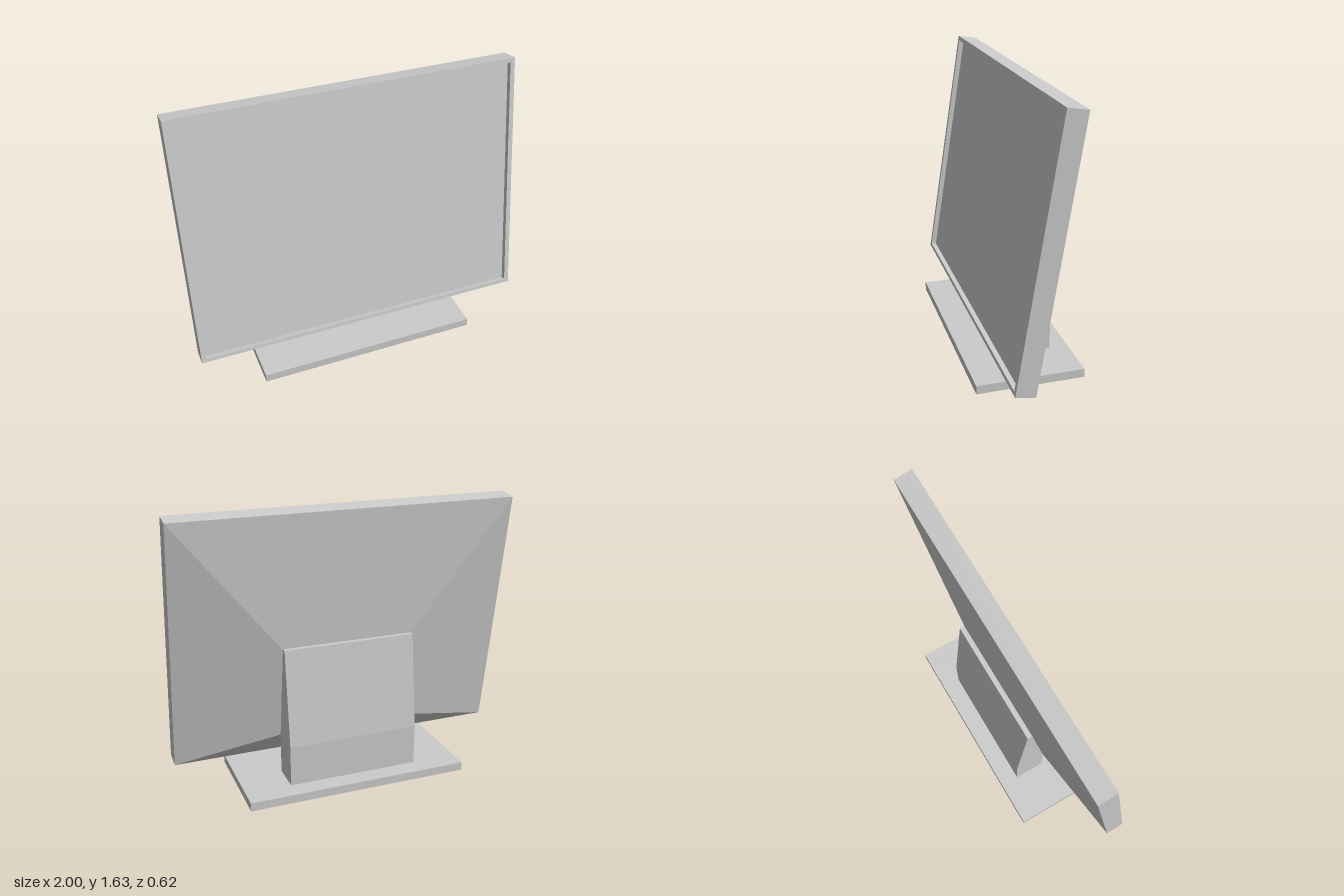
import * as THREE from 'three';

const material = new THREE.MeshStandardMaterial({ color: 0xcccccc, flatShading: true });

function addPart(parent, name, geometry) {
  const mesh = new THREE.Mesh(geometry, material);
  mesh.name = name;
  parent.add(mesh);
  return mesh;
}

// Rectangle outline from two opposite corners
function rectangle(Type, x0, y0, x1, y1) {
  return new Type([[x0, y0], [x1, y0], [x1, y1], [x0, y1]].map(p => new THREE.Vector2(...p)));
}

export function createModel() {
  const model = new THREE.Group();
  model.name = 'monitor';

  // Flat foot
  addPart(model, 'base', new THREE.BoxGeometry(1.32, 0.05, 0.62)).position.y = 0.025;

  // Stand: side profile (z, y) extruded across the width
  const standWidth = 0.78;
  const profile = new THREE.Shape([
    [-0.015, 0.002], [-0.015, 0.29], [-0.105, 0.855], [-0.135, 0.855], [-0.2, 0.29], [-0.2, 0.002],
  ].map(([z, y]) => new THREE.Vector2(-z, y)));
  const stand = new THREE.ExtrudeGeometry(profile, { depth: standWidth, bevelEnabled: false });
  stand.translate(0, 0, -standWidth / 2).rotateY(Math.PI / 2);
  addPart(model, 'stand', stand);

  // Display leaning back, pivoted on its lower front edge
  const display = new THREE.Group();
  display.name = 'display';
  display.position.set(0, 0.172, 0.2);
  display.rotation.x = -0.156;
  model.add(display);

  const height = 1.478, depth = 0.112, recess = 0.03;
  const outline = rectangle(THREE.Shape, -1, 0, 1, height);
  outline.holes.push(rectangle(THREE.Path, -0.972, 0.022, 0.972, height - 0.025));
  const bezel = new THREE.ExtrudeGeometry(outline, { depth, bevelEnabled: false });
  bezel.translate(0, 0, -depth);
  addPart(display, 'bezel', bezel);

  // Recessed screen
  const screen = new THREE.PlaneGeometry(1.944, height - 0.047);
  screen.translate(0, (height - 0.003) / 2, -recess);
  addPart(display, 'screen', screen);

  // Back cover: box whose rear face is shrunk to meet the stand
  const cover = new THREE.BoxGeometry(2, height, 0.083);
  const pos = cover.attributes.position;
  for (let i = 0; i < pos.count; i++) {
    const rear = pos.getZ(i) < 0;
    const x = Math.sign(pos.getX(i)) * (rear ? standWidth / 2 : 1);
    const top = pos.getY(i) > 0;
    const y = rear ? (top ? 0.717 : 0.15) : (top ? height : 0);
    pos.setXYZ(i, x, y, rear ? -0.195 : -depth);
  }
  cover.computeVertexNormals();
  addPart(display, 'backCover', cover);

  return model;
}
